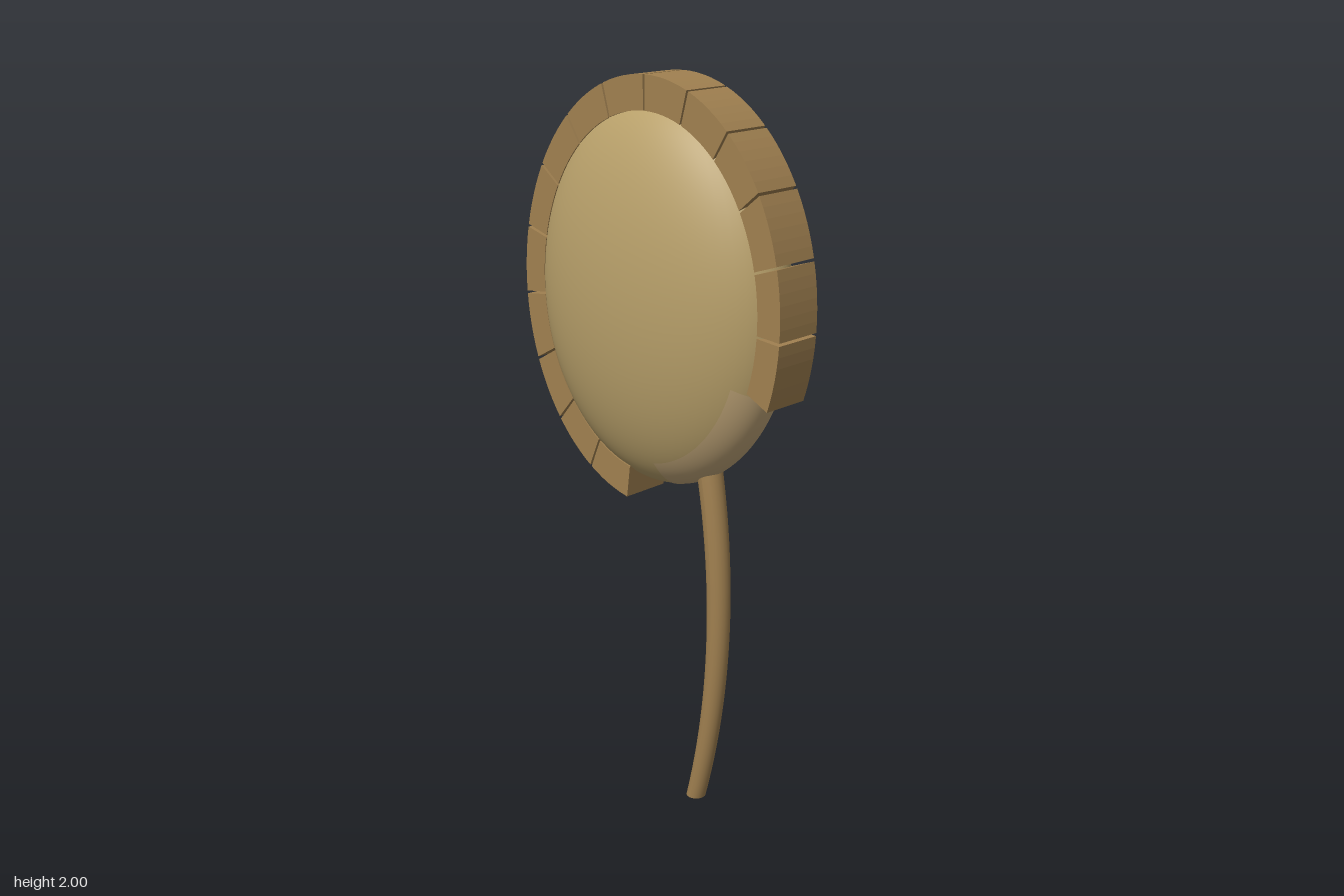
import * as THREE from 'three';

const RAD = Math.PI / 180;
const CENTRE_Y = 1.43;

function addMesh(parent, name, geometry, color) {
  const mesh = new THREE.Mesh(geometry, new THREE.MeshStandardMaterial({ color }));
  mesh.name = name;
  parent.add(mesh);
  return mesh;
}

// Point on an ellipse, angle in degrees clockwise from the top
const onEllipse = (rx, ry, deg) =>
  new THREE.Vector2(rx * Math.sin(deg * RAD), ry * Math.cos(deg * RAD));

// One thick-walled ring cell between two angles
function ringCell(start, end, depth) {
  const steps = 6, outer = [], inner = [];
  for (let i = 0; i <= steps; i++) {
    const a = start + ((end - start) * i) / steps;
    outer.push(onEllipse(0.45, 0.57, a));
    inner.unshift(onEllipse(0.378, 0.48, a));
  }
  const shape = new THREE.Shape([...outer, ...inner]);
  const geometry = new THREE.ExtrudeGeometry(shape, { depth, bevelEnabled: false });
  return geometry.translate(0, 0, -depth / 2);
}

export function createModel() {
  const model = new THREE.Group();
  model.name = 'sporeCapsule';

  // Flattened capsule
  const body = new THREE.SphereGeometry(1, 64, 48).scale(0.408, 0.515, 0.187);
  addMesh(model, 'capsule', body, 0xb8a06a).position.y = CENTRE_Y;

  // Thin-walled patch in the opening of the ring, just above the surface
  const patch = new THREE.SphereGeometry(1, 24, 24, 99 * RAD, 57 * RAD, 58 * RAD, 64 * RAD)
    .rotateX(Math.PI / 2)
    .scale(0.41, 0.517, 0.188);
  const lip = addMesh(model, 'lipPatch', patch, 0xc0a578);
  lip.position.y = CENTRE_Y;
  lip.material.side = THREE.DoubleSide;

  // Incomplete ring of fifteen cells with narrow gaps
  const ring = new THREE.Group();
  ring.name = 'ring';
  ring.position.y = CENTRE_Y;
  model.add(ring);
  for (let i = 0; i < 15; i++) {
    const start = -171 + 19 * i;
    addMesh(ring, `ringCell${i + 1}`, ringCell(start, start + 18.2, 0.145), 0xa08050);
  }

  // Bowed, tapering stalk with its top sunk into the capsule
  const height = 1.04;
  const stalk = new THREE.CylinderGeometry(0.036, 0.027, height, 20, 24).translate(0, height / 2, 0);
  const p = stalk.attributes.position;
  for (let i = 0; i < p.count; i++) {
    const y = p.getY(i);
    p.setX(i, p.getX(i) + 0.123 + 0.265 * y - 0.228 * y * y);
  }
  stalk.computeVertexNormals();
  addMesh(model, 'stalk', stalk, 0xa08050);

  return model;
}
